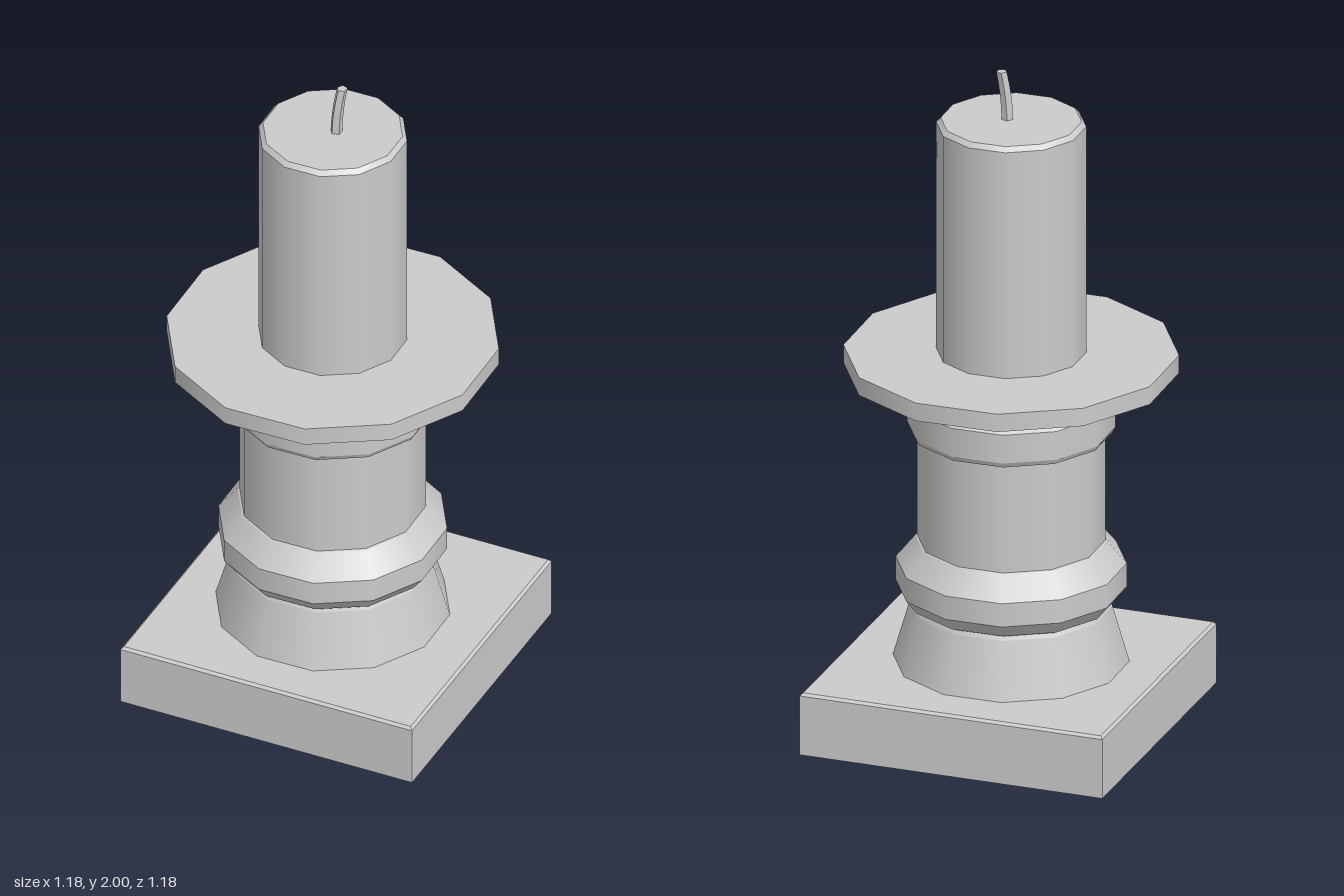
import * as THREE from 'three';
import { mergeGeometries } from 'three/addons/utils/BufferGeometryUtils.js';

const smooth = new THREE.MeshStandardMaterial({ color: 0xcccccc });
const faceted = new THREE.MeshStandardMaterial({ color: 0xcccccc, flatShading: true });

// Turned solid: smooth around the axis, a sharp edge at every profile point
function turned(name, profile, sides, startDeg, material) {
  const bands = [];
  for (let i = 0; i < profile.length - 1; i++) {
    const pair = [profile[i], profile[i + 1]].map(([r, y]) => new THREE.Vector2(r, y));
    bands.push(new THREE.LatheGeometry(pair, sides, THREE.MathUtils.degToRad(startDeg)));
  }
  const mesh = new THREE.Mesh(mergeGeometries(bands), material);
  mesh.name = name;
  return mesh;
}

export function createModel() {
  const model = new THREE.Group();
  model.name = 'candleAndHolder';

  // Square plinth with a small bevel around the top
  model.add(turned('plinth',
    [[0, 0], [0.653, 0], [0.653, 0.182], [0.642, 0.19], [0, 0.19]], 4, -25.4, faceted));

  // Twelve-sided turned parts share one slightly offset axis
  const stem = new THREE.Group();
  stem.name = 'turnedParts';
  stem.position.set(-0.007, 0, 0.006);
  const parts = {
    foot: [[0.339, 0.19], [0.29, 0.36], [0.284, 0.372]],
    lowerRing: [[0.284, 0.372], [0.298, 0.378], [0.331, 0.42], [0.331, 0.492], [0.275, 0.56], [0.27, 0.562]],
    column: [[0.27, 0.562], [0.27, 0.895]],
    collar: [[0.27, 0.895], [0.291, 0.897], [0.299, 0.912], [0.3, 1.0], [0.29, 1.008]],
    dripDish: [[0.29, 1.008], [0.481, 1.085], [0.481, 1.14], [0, 1.14]],
    candle: [[0.215, 1.14], [0.215, 1.838], [0.202, 1.852], [0, 1.852]],
  };
  for (const [name, profile] of Object.entries(parts)) {
    stem.add(turned(name, profile, 12, 5.6, smooth));
  }
  model.add(stem);

  // Wick: a thin five-sided rod bent towards its tip
  const bottom = 1.84, height = 0.16;
  const rod = new THREE.CylinderGeometry(0.016, 0.018, height, 5, 4);
  rod.translate(0, bottom + height / 2, 0);
  const p = rod.attributes.position;
  for (let i = 0; i < p.count; i++) {
    const t = (p.getY(i) - bottom) / height;
    p.setX(i, p.getX(i) + 0.006 + 0.01 * t * t);
    p.setZ(i, p.getZ(i) + 0.005 - 0.014 * t * t);
  }
  rod.computeVertexNormals();
  const wick = new THREE.Mesh(rod, faceted);
  wick.name = 'wick';
  model.add(wick);

  return model;
}
